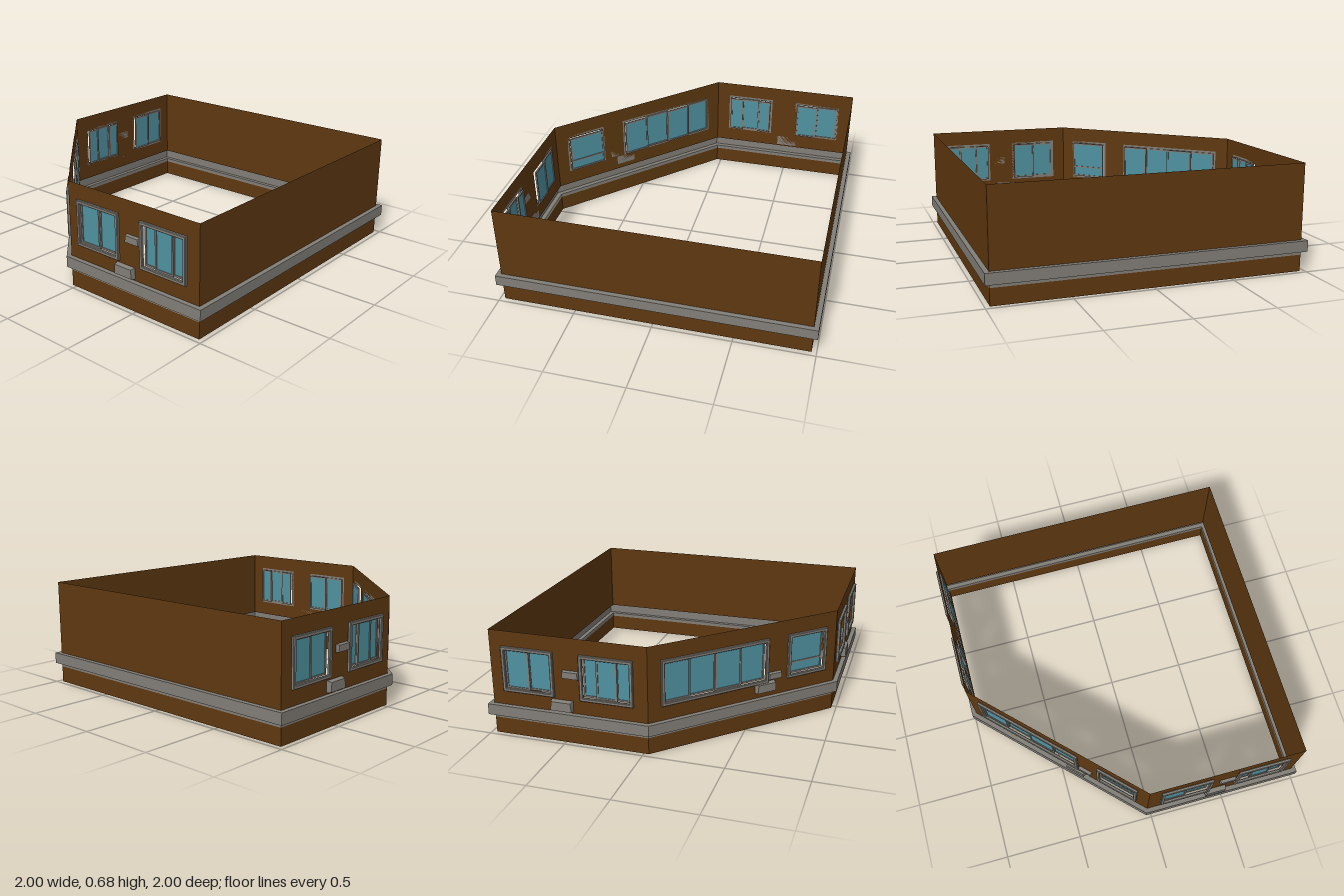
import * as THREE from 'three';

const mat = (name, color, side = THREE.FrontSide) => {
  const m = new THREE.MeshStandardMaterial({ color, side });
  m.name = name;
  return m;
};

// Corner points [x, z] of the five-sided plan, pushed outward by d
function plan(d) {
  const w = 0.97 + d, k = 0.03 + 0.414 * d;
  return [[w, w], [w, -w], [-w, -w], [-w, k], [-k, w]];
}

// Ribbon running along the chosen plan edges, through a profile of [offset, height]
function ribbon(profile, edges) {
  const pos = [];
  for (let i = 0; i < profile.length - 1; i++) {
    const [d0, y0] = profile[i], [d1, y1] = profile[i + 1];
    const lo = plan(d0), hi = plan(d1);
    for (const e of edges) {
      const f = (e + 1) % 5;
      const a = [lo[e][0], y0, lo[e][1]], b = [lo[f][0], y0, lo[f][1]];
      const c = [hi[f][0], y1, hi[f][1]], g = [hi[e][0], y1, hi[e][1]];
      pos.push(...a, ...b, ...c, ...a, ...c, ...g);
    }
  }
  const geo = new THREE.BufferGeometry();
  geo.setAttribute('position', new THREE.Float32BufferAttribute(pos, 3));
  geo.computeVertexNormals();
  return geo;
}

function rect(Type, x0, x1, y0, y1) {
  const p = new Type();
  p.moveTo(x0, y0);
  p.lineTo(x1, y0);
  p.lineTo(x1, y1);
  p.lineTo(x0, y1);
  p.closePath();
  return p;
}

// Rectangular ring with border t
function ring(x0, x1, y0, y1, t, depth, bevel) {
  const s = rect(THREE.Shape, x0 + bevel, x1 - bevel, y0 + bevel, y1 - bevel);
  s.holes.push(rect(THREE.Path, x0 + t - bevel, x1 - t + bevel, y0 + t - bevel, y1 - t + bevel));
  return new THREE.ExtrudeGeometry(s, {
    depth, bevelEnabled: bevel > 0, bevelSize: bevel, bevelThickness: bevel, bevelSegments: 1,
  });
}

export function createModel() {
  const model = new THREE.Group();
  const brown = mat('brown wall', 0x5e3810, THREE.DoubleSide);
  const grey = mat('grey trim', 0x827e78, THREE.DoubleSide);
  const pale = mat('pale trim', 0xa8a498, THREE.DoubleSide);
  const glass = mat('teal glass', 0x4f92a0, THREE.DoubleSide);

  const add = (parent, name, geo, m) => {
    const mesh = new THREE.Mesh(geo, m);
    mesh.name = name;
    parent.add(mesh);
    return mesh;
  };

  // Base, plain walls and the open-backed ledge
  const all = [0, 1, 2, 3, 4];
  add(model, 'baseWall', ribbon([[0, 0], [0, 0.105]], all), brown);
  add(model, 'plainWalls', ribbon([[0, 0.2], [0, 0.68]], [0, 1]), brown);
  add(model, 'ledge', ribbon([[0, 0.13], [0.03, 0.13], [0.03, 0.2], [0, 0.2]], all), grey);
  add(model, 'underLedgeStrip', ribbon([[0, 0.105], [0, 0.13]], [0, 1, 2, 3]), grey);
  add(model, 'frontUnderLedgeStrip', ribbon([[0, 0.105], [0, 0.13]], [4]), pale);

  const Y0 = 0.295, Y1 = 0.585, T = 0.022;

  // Window: u0, u1 and sashes as [left, right, recess]
  function addWindow(wall, { u0, u1, sashes, rail }) {
    const win = new THREE.Group();
    win.name = 'window';
    wall.add(win);
    const frame = add(win, 'windowFrame', ring(u0, u1, Y0, Y1, T, 0.012, 0.004), grey);
    frame.position.z = 0.004;
    for (const [a, b, recess] of sashes) {
      const sash = add(win, 'sash', ring(a, b, Y0 + T - 0.004, Y1 - T + 0.004, 0.011, 0.01, 0), grey);
      sash.position.z = -recess;
      const pane = add(win, 'pane', new THREE.PlaneGeometry(b - a - 0.016, Y1 - Y0 - 2 * T - 0.008), glass);
      pane.position.set((a + b) / 2, (Y0 + Y1) / 2, 0.005 - recess);
      if (rail) {
        const bar = add(win, 'rail', new THREE.BoxGeometry(b - a, 0.01, 0.01), grey);
        bar.position.set((a + b) / 2, rail, 0.005 - recess);
      }
    }
  }

  // Wall-mounted unit: a box whose outer face is slightly narrower at the top
  function addUnit(wall, u0, u1, y0, y1, depth) {
    const geo = new THREE.BoxGeometry(u1 - u0, y1 - y0, depth);
    const p = geo.attributes.position;
    for (let i = 0; i < p.count; i++) {
      if (p.getZ(i) > 0) {
        p.setX(i, p.getX(i) * (p.getY(i) > 0 ? 0.88 : 0.96));
        p.setY(i, p.getY(i) * 0.82);
      }
    }
    geo.computeVertexNormals();
    add(wall, 'wallUnit', geo, grey).position.set((u0 + u1) / 2, (y0 + y1) / 2, depth / 2);
  }

  // Wall with window openings; u runs left to right seen from outside
  function addWall(name, length, x, z, turn, windows, units) {
    const wall = new THREE.Group();
    wall.name = name;
    wall.position.set(x, 0, z);
    wall.rotation.y = turn;
    model.add(wall);
    const s = rect(THREE.Shape, 0, length, 0.2, 0.68);
    for (const w of windows) {
      s.holes.push(rect(THREE.Path, w.u0 + T - 0.004, w.u1 - T + 0.004, Y0 + T - 0.004, Y1 - T + 0.004));
      addWindow(wall, w);
    }
    add(wall, 'wallPanel', new THREE.ShapeGeometry(s), brown);
    for (const u of units) addUnit(wall, ...u);
  }

  // The front and left walls share one layout
  const pair = [
    { u0: 0.08, u1: 0.415, sashes: [[0.098, 0.252, 0.01], [0.244, 0.397, 0.02]] },
    { u0: 0.58, u1: 0.915, sashes: [[0.598, 0.69, 0.02], [0.682, 0.812, 0.01], [0.804, 0.897, 0.02]] },
  ];
  const pairUnits = [[0.39, 0.53, 0.21, 0.28, 0.03], [0.47, 0.575, 0.425, 0.475, 0.02]];
  addWall('frontWall', 1, -0.03, 0.97, 0, pair, pairUnits);
  addWall('rightSideWall', 1, -0.97, -0.97, -Math.PI / 2, pair, pairUnits);

  // Diagonal wall with a four-part window and a single one
  addWall('diagonalWall', 0.94 * Math.SQRT2, -0.97, 0.03, -Math.PI / 4, [
    {
      u0: 0.083, u1: 0.817,
      sashes: [[0.101, 0.279, 0.01], [0.271, 0.454, 0.02], [0.446, 0.629, 0.01], [0.621, 0.799, 0.02]],
    },
    { u0: 0.96, u1: 1.25, sashes: [[0.978, 1.232, 0.02]], rail: 0.385 },
  ], [[0.73, 0.87, 0.235, 0.3, 0.03], [0.82, 0.915, 0.31, 0.355, 0.02]]);

  return model;
}
